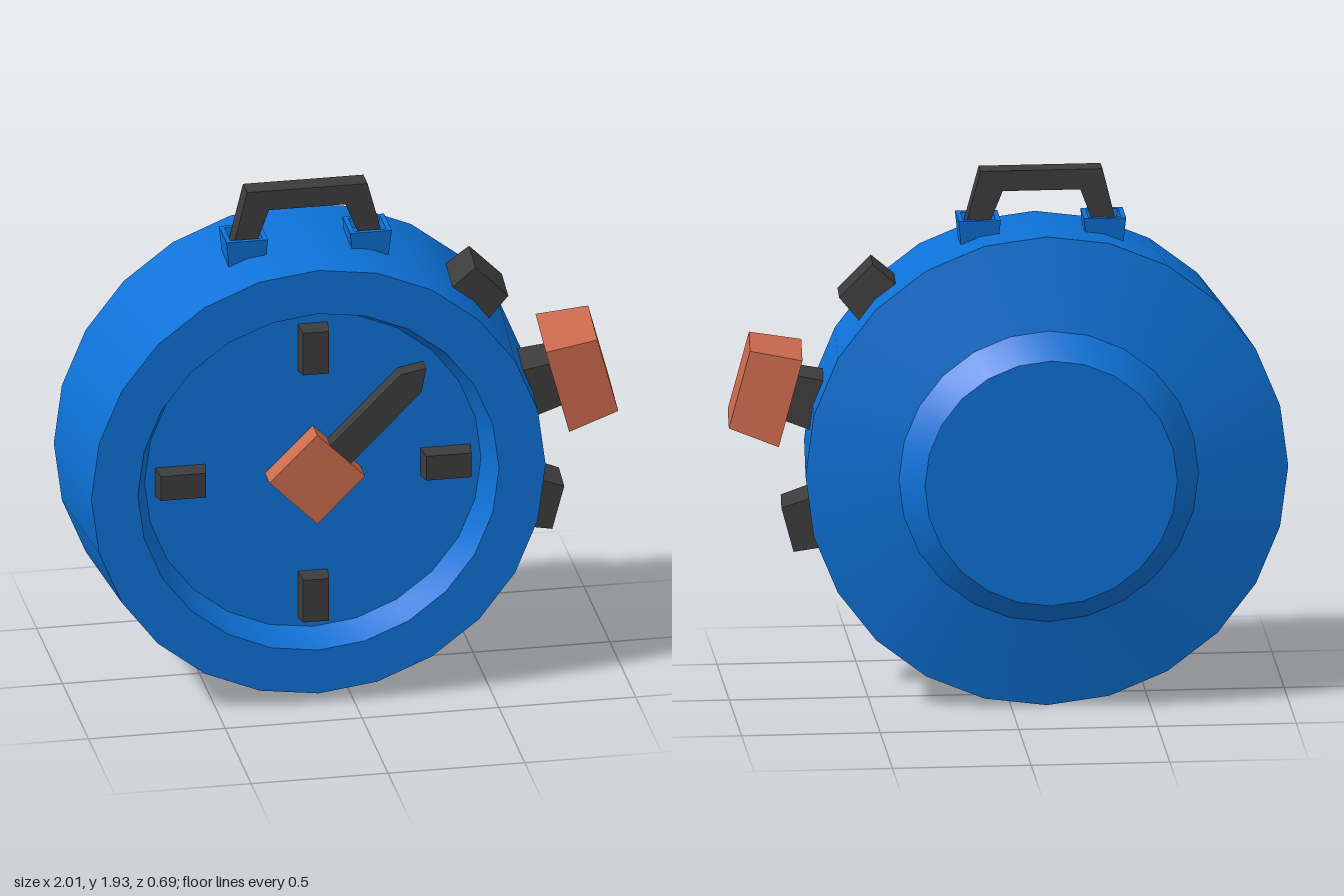
import * as THREE from 'three';
import { toCreasedNormals } from 'three/addons/utils/BufferGeometryUtils.js';

const CX = -0.13, CY = 0.875; // centre of the dial
const blue = new THREE.MeshStandardMaterial({ color: 0x0d72d8 });
const dark = new THREE.MeshStandardMaterial({ color: 0x3c3c3c });
const orange = new THREE.MeshStandardMaterial({ color: 0xcc6a4d });

// Box whose top (+y) is scaled down towards its axis
function taperedBox(w, h, d, topW = w, topD = d) {
  const geo = new THREE.BoxGeometry(w, h, d);
  const p = geo.attributes.position;
  for (let i = 0; i < p.count; i++) {
    if (p.getY(i) > 0) p.setXYZ(i, p.getX(i) * topW / w, p.getY(i), p.getZ(i) * topD / d);
  }
  geo.computeVertexNormals();
  return geo;
}

function lathe(profile, sides, crease) {
  const points = profile.map(([r, y]) => new THREE.Vector2(r, y));
  return toCreasedNormals(new THREE.LatheGeometry(points, sides), crease);
}

// Flat outline extruded from z0 to z1
function plate(points, z0, z1) {
  const shape = new THREE.Shape(points.map(([x, y]) => new THREE.Vector2(x, y)));
  return new THREE.ExtrudeGeometry(shape, { depth: z1 - z0, bevelEnabled: false }).translate(0, 0, z0);
}

export function createModel() {
  const model = new THREE.Group();
  model.name = 'stopwatch';
  const add = (name, geo, mat, parent = model) => {
    const mesh = new THREE.Mesh(geo, mat);
    mesh.name = name;
    parent.add(mesh);
    return mesh;
  };

  // Case: stepped back, flared side wall, front rim and sunken dial
  const body = add('case', lathe([
    [0, -0.345], [0.455, -0.345], [0.54, -0.245], [0.87, -0.17],
    [0.83, 0.345], [0.66, 0.345], [0.615, 0.235], [0, 0.235],
  ], 24, 0.5).rotateX(Math.PI / 2), blue);
  body.position.set(CX, CY, 0);

  // Four dial markers
  for (let i = 0; i < 4; i++) {
    const geo = taperedBox(0.11, 0.07, 0.185, 0.095, 0.165).rotateX(Math.PI / 2);
    geo.translate(0, 0.485, 0.265).rotateZ(i * Math.PI / 2);
    add('dialMarker', geo, dark).position.set(CX, CY, 0);
  }

  // Pointed hand and its square hub
  const hand = add('hand', plate([
    [0, -0.053], [0.488, -0.053], [0.566, 0], [0.488, 0.053], [0, 0.053],
  ], 0.25, 0.315), dark);
  const hub = add('handHub', new THREE.BoxGeometry(0.247, 0.247, 0.1).translate(0, 0, 0.275), orange);
  for (const part of [hand, hub]) {
    part.position.set(CX, CY, 0);
    part.rotation.z = Math.PI / 4;
  }

  // Carrying handle
  add('handle', plate([
    [-0.275, 1.71], [-0.22, 1.935], [0.22, 1.935], [0.28, 1.71],
    [0.2, 1.71], [0.14, 1.86], [-0.14, 1.86], [-0.195, 1.71],
  ], 0.05, 0.13), dark).position.x = CX;

  // Square sockets holding the handle
  for (const side of [-1, 1]) {
    const k = Math.SQRT2;
    const geo = lathe([
      [0, -0.12], [0.066 * k, -0.1], [0.076 * k, 0], [0.058 * k, 0], [0.052 * k, -0.035], [0, -0.035],
    ], 4, 0.2).rotateY(Math.PI / 4);
    add('handleSocket', geo, blue).position.set(CX + side * 0.226, 1.76, 0.09);
  }

  // Radial parts lean with the slope of the side wall
  const radial = (name, geo, mat, degrees, radius) => {
    const mesh = add(name, geo, mat);
    const a = THREE.MathUtils.degToRad(degrees);
    mesh.position.set(CX + Math.cos(a) * radius, CY + Math.sin(a) * radius, 0.095);
    mesh.rotation.set(0.077, 0, a - Math.PI / 2, 'ZXY');
  };
  const button = () => taperedBox(0.195, 0.15, 0.195, 0.17, 0.175);
  radial('upperButton', button(), dark, 45, 0.87);
  radial('crownStem', button(), dark, 15, 0.87);
  radial('lowerButton', button(), dark, -15, 0.87);
  radial('crown', taperedBox(0.33, 0.19, 0.33, 0.295, 0.295), orange, 15, 1.03);

  return model;
}
